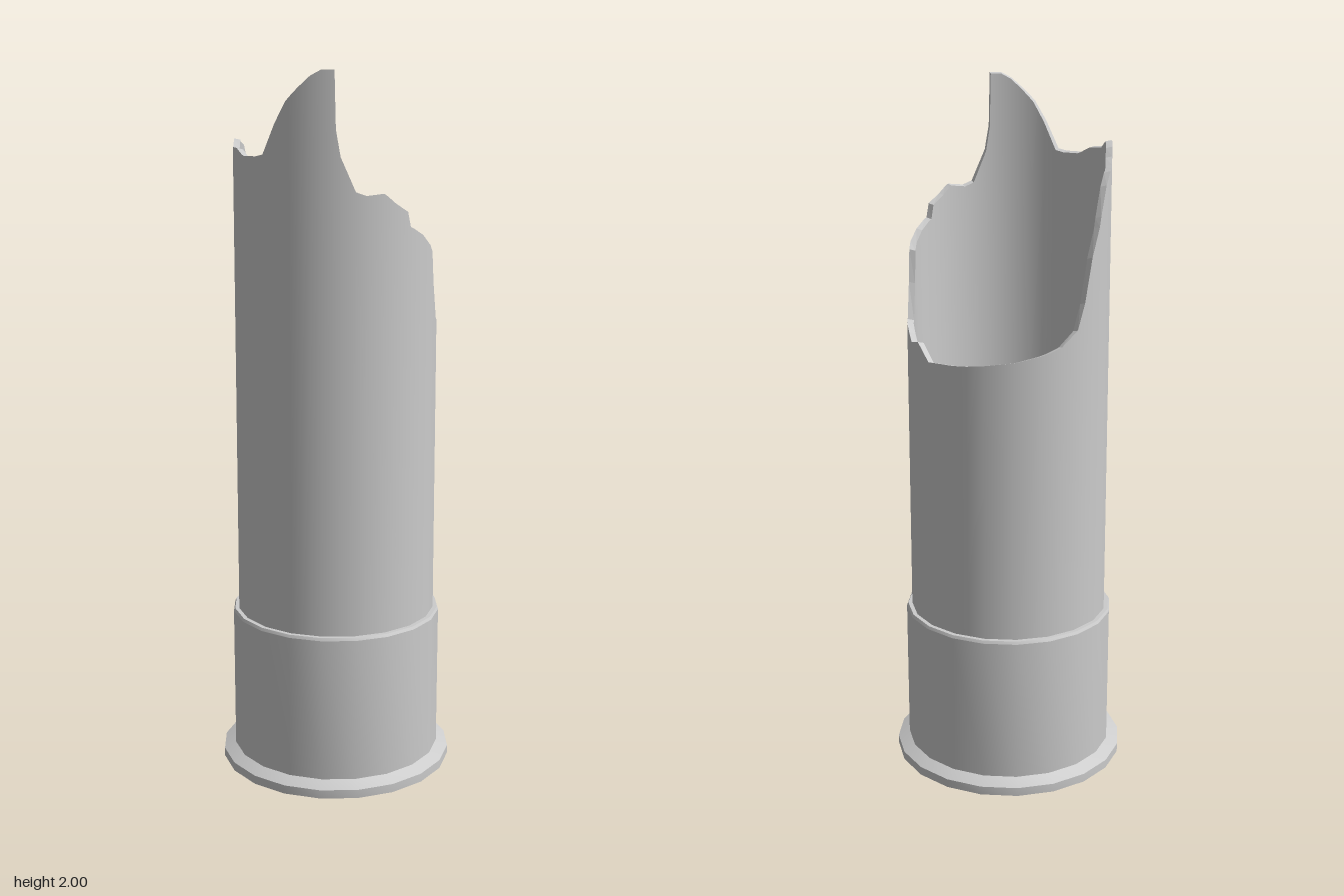
import * as THREE from 'three';
import { toCreasedNormals } from 'three/addons/utils/BufferGeometryUtils.js';

const SIDES = 20;
const STEP = 360 / SIDES;
const FLOOR_Y = 0.05;

// Torn edge: [angle in degrees from +x towards +z, height]
const TEAR = [
  [0, 1.285], [4, 1.28], [12, 1.3], [20, 1.33], [27, 1.43], [31, 1.52], [44, 1.57], [56, 1.595],
  [58, 1.635], [67, 1.66], [74, 1.685], [84, 1.68], [90, 1.69], [98, 1.78], [100.5, 1.85],
  [101.2, 2], [108, 2], [114, 1.985], [121, 1.955], [128, 1.92], [135, 1.865], [143, 1.785],
  [149, 1.78], [160, 1.78], [172, 1.8], [188, 1.805], [196, 1.825], [204, 1.81], [207, 1.785],
  [213, 1.765], [218, 1.75], [224, 1.715], [232, 1.635], [240, 1.53], [246, 1.41], [252, 1.34],
  [262, 1.3], [275, 1.28], [290, 1.265], [316, 1.25], [342, 1.245], [354, 1.29], [360, 1.285],
];

function tearHeight(a) {
  const i = Math.max(1, TEAR.findIndex((p) => p[0] >= a));
  const [a0, h0] = TEAR[i - 1];
  const [a1, h1] = TEAR[i];
  return THREE.MathUtils.lerp(h0, h1, (a - a0) / (a1 - a0));
}

// Every tear point plus every corner of the 20-sided tube
const corners = Array.from({ length: SIDES }, (_, i) => i * STEP);
const ANGLES = [...new Set([...corners, ...TEAR.map((p) => p[0])])]
  .filter((a) => a < 360)
  .sort((a, b) => a - b);

// Point on a 20-sided ring of corner radius r
function ringPoint(r, a, y) {
  const half = THREE.MathUtils.degToRad(STEP / 2);
  const t = THREE.MathUtils.degToRad(a);
  const offset = THREE.MathUtils.degToRad(a % STEP) - half;
  const d = (r * Math.cos(half)) / Math.cos(offset);
  return [d * Math.cos(t), y, d * Math.sin(t)];
}

// Joins closed rings, given as functions angle -> [radius, height]
function loft(rings, normalSign) {
  const n = ANGLES.length;
  const positions = [];
  const normals = [];
  const index = [];
  for (const ring of rings) {
    for (const a of ANGLES) {
      const [r, y] = ring(a);
      const t = THREE.MathUtils.degToRad(a);
      positions.push(...ringPoint(r, a, y));
      normals.push(normalSign * Math.cos(t), 0, normalSign * Math.sin(t));
    }
  }
  for (let k = 0; k < rings.length - 1; k++) {
    for (let i = 0; i < n; i++) {
      const a = k * n + i;
      const b = k * n + ((i + 1) % n);
      index.push(a, a + n, b, b, a + n, b + n);
    }
  }
  const g = new THREE.BufferGeometry();
  g.setAttribute('position', new THREE.Float32BufferAttribute(positions, 3));
  g.setAttribute('normal', new THREE.Float32BufferAttribute(normals, 3));
  g.setIndex(index);
  return g;
}

export function createModel() {
  const group = new THREE.Group();
  const material = new THREE.MeshStandardMaterial({ color: 0xcccccc, side: THREE.DoubleSide });
  const add = (name, geometry) => {
    const mesh = new THREE.Mesh(geometry, material);
    mesh.name = name;
    group.add(mesh);
    return mesh;
  };

  // Flanged base and collar, closed underneath
  const profile = [
    [0, 0], [0.34, 0], [0.34, 0.025], [0.306, 0.042], [0.306, 0.458], [0.302, 0.466], [0.285, 0.466],
  ].map(([r, y]) => new THREE.Vector2(r, y));
  add('baseCollar', toCreasedNormals(new THREE.LatheGeometry(profile, SIDES), 0.45));

  // Tube skin, lining that narrows towards the floor, and the torn lip between them
  const outerTop = (a) => [0.288, tearHeight(a)];
  const innerTop = (a) => [0.27, tearHeight(a) - 0.004];
  add('tubeOuterWall', loft([() => [0.29, 0.44], outerTop], 1));
  add('tubeInnerWall', loft([innerTop, () => [0.268, 1.15], () => [0.235, FLOOR_Y]], -1));
  const lip = loft([outerTop, innerTop], 1).toNonIndexed();
  lip.computeVertexNormals();
  add('tornLip', lip);

  // Inside floor
  const floor = add('innerFloor', new THREE.CircleGeometry(0.235, SIDES));
  floor.rotation.x = -Math.PI / 2;
  floor.position.y = FLOOR_Y;

  return group;
}
